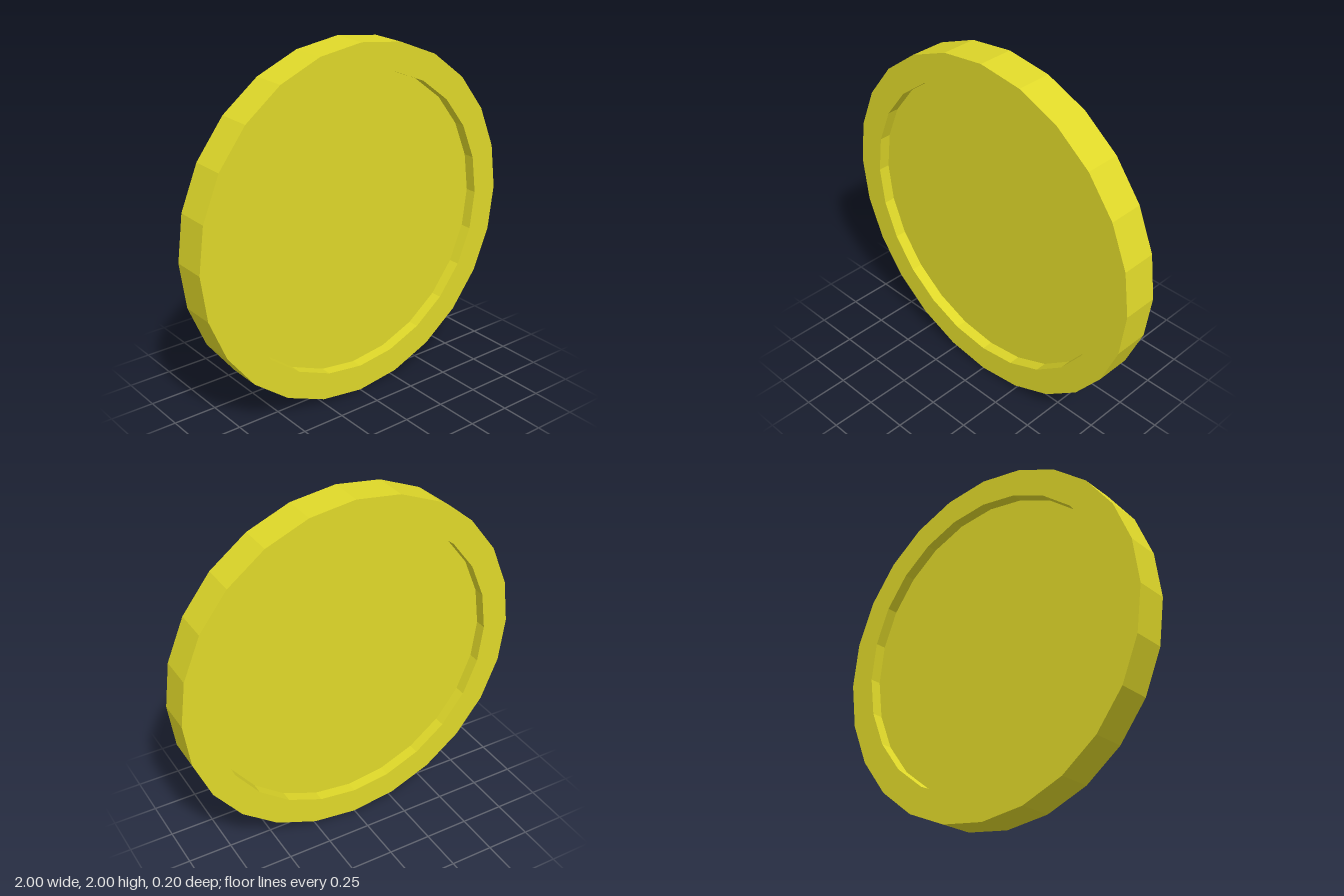
import * as THREE from 'three';

const SIDES = 24, RADIUS = 1, INNER = 0.845, HALF = 0.1, FLOOR = 0.035;

export function createModel() {
  const coin = new THREE.Group();
  coin.name = 'coin';
  const material = new THREE.MeshStandardMaterial({ color: 0xdfd829, flatShading: true });

  // Raised rim: inner walls, two flat rings and the faceted outer edge
  const profile = [
    [INNER, -FLOOR], [INNER, -HALF], [RADIUS, -HALF],
    [RADIUS, HALF], [INNER, HALF], [INNER, FLOOR],
  ].map(([r, y]) => new THREE.Vector2(r, y));
  const rim = new THREE.Mesh(new THREE.LatheGeometry(profile, SIDES), material);
  rim.name = 'rim';
  rim.rotation.x = Math.PI / 2;
  rim.position.y = RADIUS;
  coin.add(rim);

  // Recessed faces on both sides
  for (const side of [1, -1]) {
    const face = new THREE.Mesh(new THREE.CircleGeometry(INNER, SIDES), material);
    face.name = side > 0 ? 'frontFace' : 'backFace';
    face.position.set(0, RADIUS, side * FLOOR);
    if (side < 0) face.rotation.y = Math.PI;
    coin.add(face);
  }
  return coin;
}
